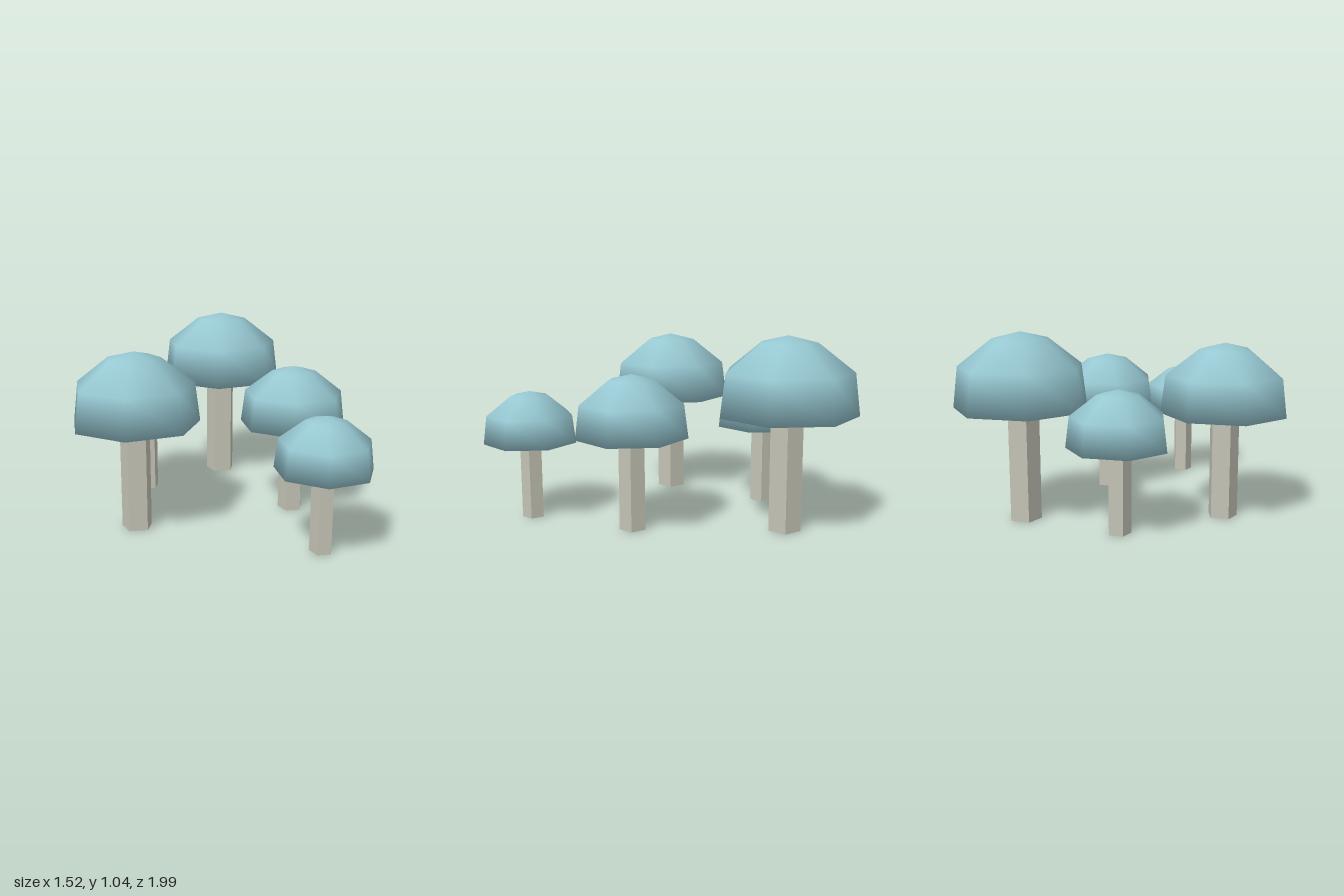
import * as THREE from 'three';
import { mergeVertices } from 'three/addons/utils/BufferGeometryUtils.js';

const capTeal = new THREE.MeshStandardMaterial({ color: 0x97c8d2 });
capTeal.name = 'capTeal';
const stemGrey = new THREE.MeshStandardMaterial({ color: 0xc3c3b5, flatShading: true });
stemGrey.name = 'stemGrey';

const STEM_HEIGHT = 0.625;

// Seven-sided closed dome, smooth over the rim, with one corner towards +x
function capGeometry() {
  const profile = [[0, 0.625], [0.374, 0.625], [0.345, 0.85], [0.153, 1.0], [0, 1.037]]
    .map(([r, y]) => new THREE.Vector2(r, y));
  const lathe = new THREE.LatheGeometry(profile, 7, Math.PI / 2);
  lathe.deleteAttribute('normal');
  lathe.deleteAttribute('uv');
  const geometry = mergeVertices(lathe, 1e-4);
  geometry.computeVertexNormals();
  return geometry;
}

// Five-sided straight post with a flat face towards +z
function stemGeometry() {
  const geometry = new THREE.CylinderGeometry(0.09, 0.09, STEM_HEIGHT, 5, 1, false, Math.PI);
  return geometry.translate(0, STEM_HEIGHT / 2, 0);
}

// Position and uniform scale of each mushroom
const MUSHROOMS = [
  { name: 'backMushroom', x: 0.187, z: -0.635, scale: 1 },
  { name: 'frontRightMushroom', x: -0.447, z: 0.262, scale: 0.936 },
  { name: 'leftMushroom', x: 0.455, z: 0.13, scale: 0.805 },
  { name: 'backRightMushroom', x: -0.325, z: -0.368, scale: 0.737 },
  { name: 'frontLeftMushroom', x: 0.446, z: 0.745, scale: 0.686 },
];

export function createModel() {
  const model = new THREE.Group();
  model.name = 'mushroomCluster';
  const capShape = capGeometry();
  const stemShape = stemGeometry();

  for (const { name, x, z, scale } of MUSHROOMS) {
    const mushroom = new THREE.Group();
    mushroom.name = name;
    const cap = new THREE.Mesh(capShape, capTeal);
    cap.name = 'cap';
    const stem = new THREE.Mesh(stemShape, stemGrey);
    stem.name = 'stem';
    mushroom.add(cap, stem);
    mushroom.position.set(x, 0, z);
    mushroom.scale.setScalar(scale);
    model.add(mushroom);
  }
  return model;
}
